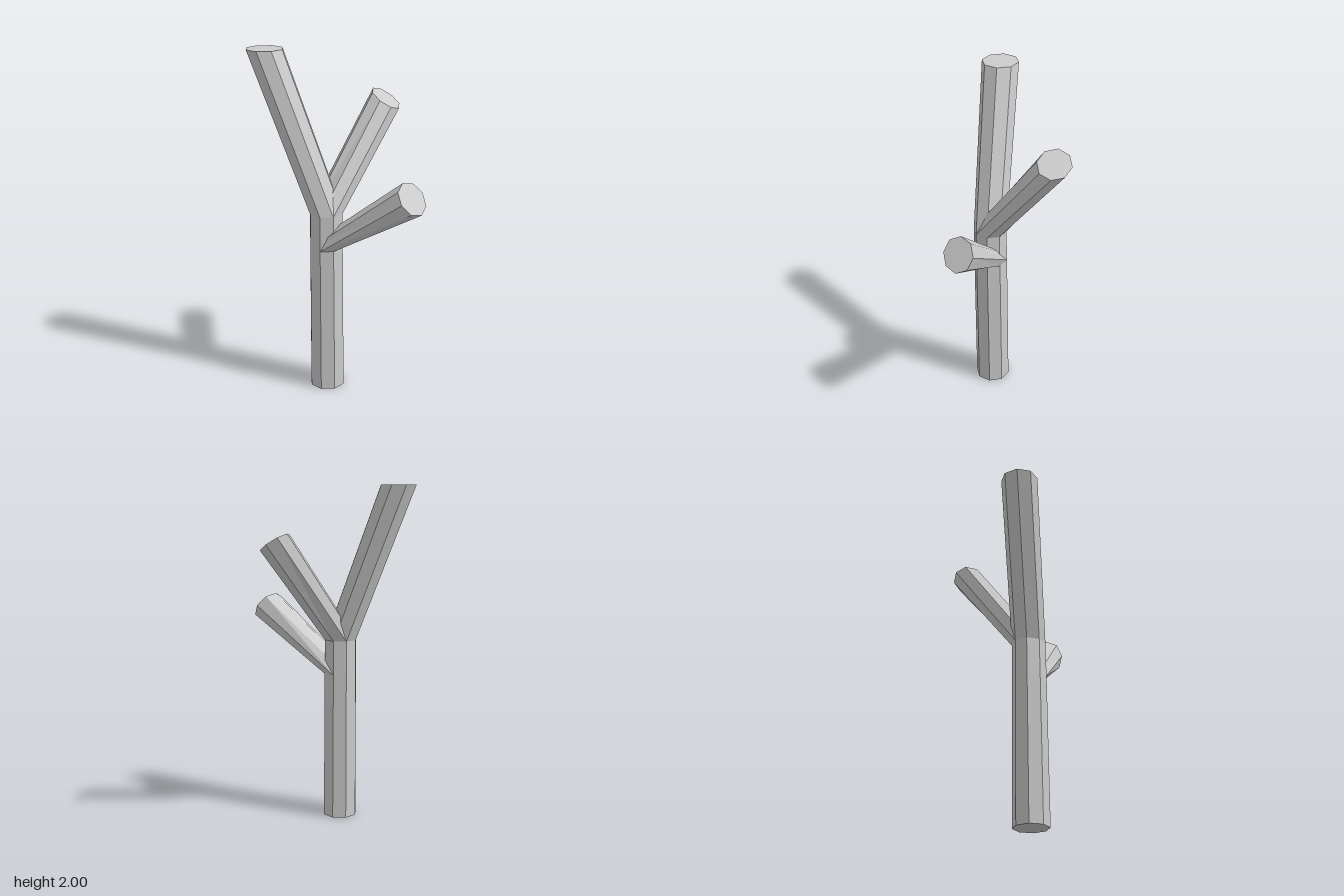
import * as THREE from 'three';

const SIDES = 8;

// Octagonal cross-section: centre plus two half-axes
function ring(centre, u, v) {
  const c = new THREE.Vector3(...centre);
  const a = new THREE.Vector3(...u);
  const b = new THREE.Vector3(...v);
  return Array.from({ length: SIDES }, (_, i) => {
    const t = (i / SIDES) * Math.PI * 2;
    return c.clone().addScaledVector(a, Math.cos(t)).addScaledVector(b, Math.sin(t));
  });
}

const levelRing = (x, y, z, r) => ring([x, y, z], [r, 0, 0], [0, 0, r]);

// Faceted limb through the rings, with optional end caps
function limb(name, rings, capStart, material) {
  const points = [];
  for (let k = 0; k < rings.length - 1; k++) {
    for (let i = 0; i < SIDES; i++) {
      const j = (i + 1) % SIDES;
      const [a, b] = [rings[k], rings[k + 1]];
      points.push(a[i], b[i], a[j], a[j], b[i], b[j]);
    }
  }
  const first = rings[0];
  const last = rings[rings.length - 1];
  for (let i = 1; i < SIDES - 1; i++) {
    points.push(last[0], last[i + 1], last[i]);
    if (capStart) points.push(first[0], first[i], first[i + 1]);
  }
  const geometry = new THREE.BufferGeometry().setFromPoints(points);
  geometry.computeVertexNormals();
  const mesh = new THREE.Mesh(geometry, material);
  mesh.name = name;
  return mesh;
}

export function createModel() {
  const group = new THREE.Group();
  group.name = 'branchingTrunk';
  const material = new THREE.MeshStandardMaterial({ color: 0xcccccc, flatShading: true });
  const x = -0.06, z = 0.17;
  const lowerFork = levelRing(x, 0.885, z, 0.1);
  const upperFork = levelRing(x, 1.09, z, 0.098);

  // Upright trunk that bends into the tallest limb
  group.add(limb('trunk', [
    levelRing(x, 0, z, 0.104),
    lowerFork,
    upperFork,
    levelRing(-0.416, 2, 0.168, 0.107),
  ], true, material));

  // Branch leaning back from the bend
  group.add(limb('backBranch', [
    upperFork,
    ring([0.162, 1.682, -0.232], [0.081, -0.053, 0.007], [-0.006, 0.004, 0.097]),
  ], false, material));

  // Lower branch leaning out to the side
  group.add(limb('sideBranch', [
    lowerFork,
    ring([0.463, 1.25, 0.236], [0.057, -0.084, 0.005], [-0.033, -0.012, 0.09]),
  ], false, material));

  return group;
}
